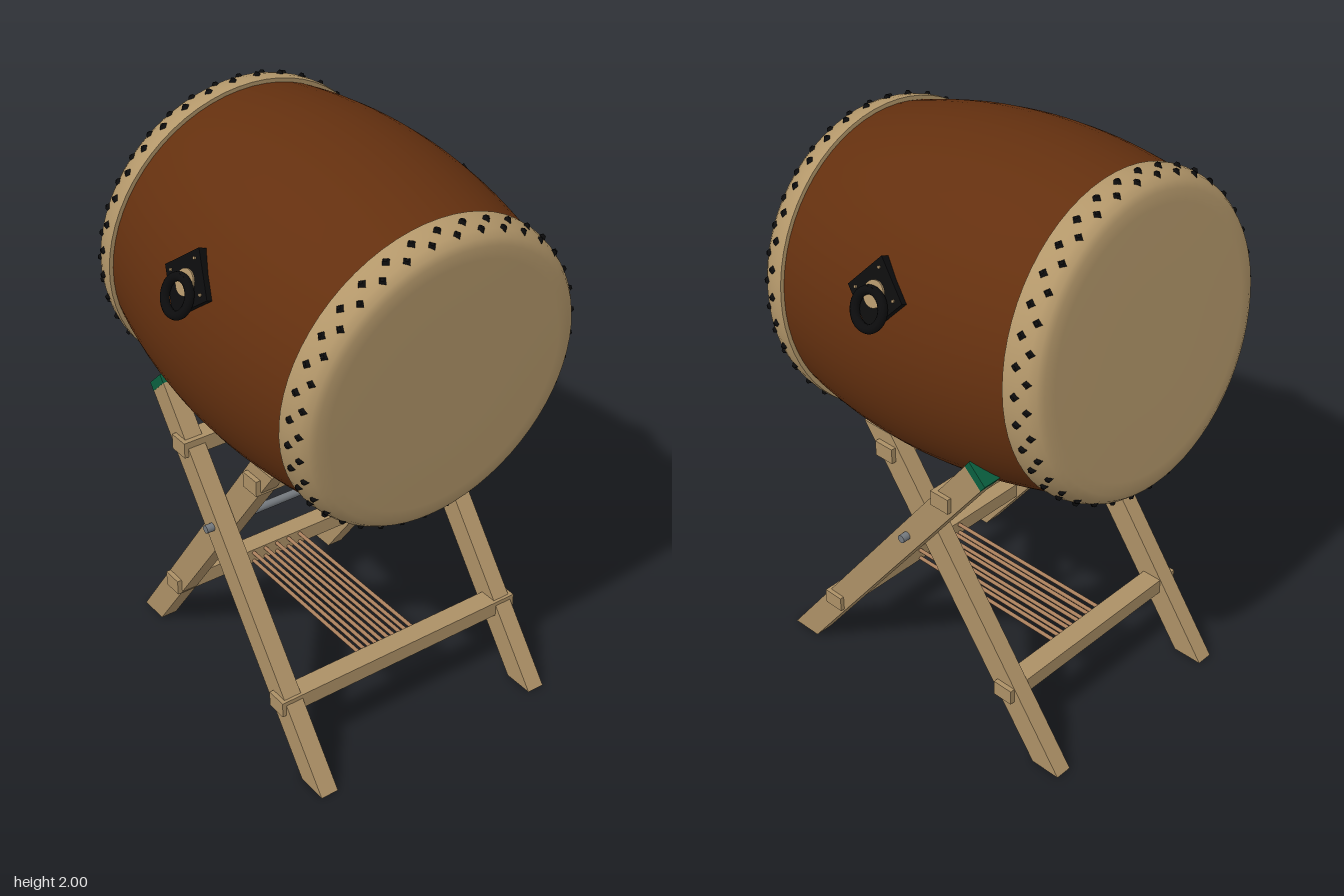
import * as THREE from 'three';
import { mergeGeometries } from 'three/addons/utils/BufferGeometryUtils.js';

const mat = (name, color, opts = {}) => Object.assign(new THREE.MeshStandardMaterial({ color, ...opts }), { name });

export function createModel() {
  const lacquer = mat('brown lacquer', 0x64300f, { side: THREE.DoubleSide });
  const hide = mat('drum hide', 0xb3976a, { side: THREE.DoubleSide });
  const wood = mat('stand wood', 0xac9066);
  const iron = mat('black iron', 0x0c0c0d);
  const steel = mat('steel', 0x74797e);
  const felt = mat('green felt', 0x0a5f3f);
  const rope = mat('rope', 0xa97f5c);

  const model = new THREE.Group();
  model.name = 'barrelDrumOnStand';
  const add = (parent, name, geo, material, x = 0, y = 0, z = 0) => {
    const m = new THREE.Mesh(geo, material);
    m.name = name;
    m.position.set(x, y, z);
    parent.add(m);
    return m;
  };
  const lathe = (pts) => new THREE.LatheGeometry(pts.map(([r, t]) => new THREE.Vector2(r, t)), 64);

  // Drum, tilted so the front head points slightly down
  const drum = new THREE.Group();
  drum.name = 'drum';
  drum.position.y = 1.425;
  drum.rotation.x = 0.1;
  model.add(drum);

  // Barrel body
  const barrel = [];
  for (let i = 0; i <= 20; i++) {
    const t = -0.56 + 0.056 * i;
    barrel.push([0.568 - 0.257 * t * t, t]);
  }
  add(drum, 'barrelBody', lathe(barrel).rotateX(Math.PI / 2), lacquer);

  // Both heads: stretched hide, collar edge and two rows of tacks
  const skin = [[0.524, 0.474], [0.525, 0.495], [0.52, 0.525], [0.509, 0.555], [0.493, 0.576],
    [0.47, 0.586], [0.43, 0.589], [0.2, 0.59], [0, 0.59]];
  const rows = [{ r: 0.522, t: 0.518, lean: 0.15, shift: 0.5 }, { r: 0.509, t: 0.553, lean: 0.4, shift: 0 }];
  for (const side of [1, -1]) {
    const head = new THREE.Group();
    head.name = side > 0 ? 'frontHead' : 'backHead';
    head.rotation.x = side * Math.PI / 2;
    drum.add(head);
    add(head, 'hide', lathe(skin), hide);
    add(head, 'collarEdge', lathe([[0.5, 0.474], [0.524, 0.474]]), hide);
    const tacks = [];
    for (const { r, t, lean, shift } of rows) {
      for (let i = 0; i < 36; i++) {
        tacks.push(new THREE.CylinderGeometry(0.007, 0.016, 0.012, 4)
          .rotateZ(-Math.PI / 2 + lean)
          .translate(r + 0.003, t, 0)
          .rotateY((i + shift) * Math.PI / 18));
      }
    }
    add(head, 'tacks', mergeGeometries(tacks), iron);
  }

  // Handle on each side: diamond plate, boss, rivets and hanging ring
  for (const side of [1, -1]) {
    const holder = new THREE.Group();
    holder.name = side > 0 ? 'leftHandle' : 'rightHandle';
    holder.rotation.y = side > 0 ? 0 : Math.PI;
    drum.add(holder);
    const handle = new THREE.Group();
    handle.rotation.z = 0.39;
    holder.add(handle);
    add(handle, 'plate', new THREE.BoxGeometry(0.032, 0.162, 0.162).rotateX(Math.PI / 4), iron, 0.568);
    add(handle, 'boss', new THREE.CylinderGeometry(0.042, 0.042, 0.008, 24).rotateZ(-Math.PI / 2), wood, 0.586);
    add(handle, 'staple', new THREE.BoxGeometry(0.024, 0.018, 0.024), iron, 0.596, 0.012);
    for (const [y, z] of [[0.08, 0], [0, 0.08], [0, -0.08]]) {
      add(handle, 'rivet', new THREE.CylinderGeometry(0.005, 0.005, 0.006, 8).rotateZ(-Math.PI / 2), wood, 0.586, y, z);
    }
    add(handle, 'ring', new THREE.TorusGeometry(0.058, 0.015, 10, 28).rotateY(Math.PI / 2), iron, 0.597, -0.046);
  }

  // Stand: side profiles given as [z, y], extruded across x
  const stand = new THREE.Group();
  stand.name = 'stand';
  model.add(stand);
  const beam = (pts, width) => new THREE.ExtrudeGeometry(
    new THREE.Shape(pts.map(([z, y]) => new THREE.Vector2(z, y))), { depth: width, bevelEnabled: false },
  ).translate(0, 0, -width / 2).rotateY(-Math.PI / 2);
  const longLeg = [[0.6, 0], [0.49, 0], [-0.33, 1.071], [-0.265, 1.133]];
  const cap = [[-0.265, 1.133], [-0.33, 1.071], [-0.348, 1.095], [-0.283, 1.157]];
  const shortLeg = [[-0.6, 0], [-0.49, 0], [0.25, 1.02], [0.13, 1.02]];
  for (const side of [1, -1]) {
    add(stand, 'longLeg', beam(longLeg, 0.064), wood, side * 0.438);
    add(stand, 'feltCap', beam(cap, 0.066), felt, side * 0.438);
    add(stand, 'shortLeg', beam(shortLeg, 0.06), wood, side * 0.373);
  }

  // Crossbars of the wide and narrow frames
  for (const [y, z, width] of [[0.24, 0.37, 0.97], [0.95, -0.165, 0.97], [0.24, -0.37, 0.84], [0.95, 0.148, 0.84]]) {
    add(stand, 'crossbar', new THREE.BoxGeometry(width, 0.055, 0.074), wood, 0, y, z);
  }

  // Pivot rod and the cords that tie the lower crossbars together
  add(stand, 'pivotRod', new THREE.CylinderGeometry(0.014, 0.014, 0.995, 16).rotateZ(Math.PI / 2), steel, 0, 0.722, 0);
  for (let i = -2; i <= 2; i++) {
    for (const y of [0.255, 0.22]) {
      add(stand, 'cord', new THREE.CylinderGeometry(0.007, 0.007, 0.7, 8).rotateX(Math.PI / 2), rope, i * 0.05, y, 0);
    }
  }
  return model;
}
